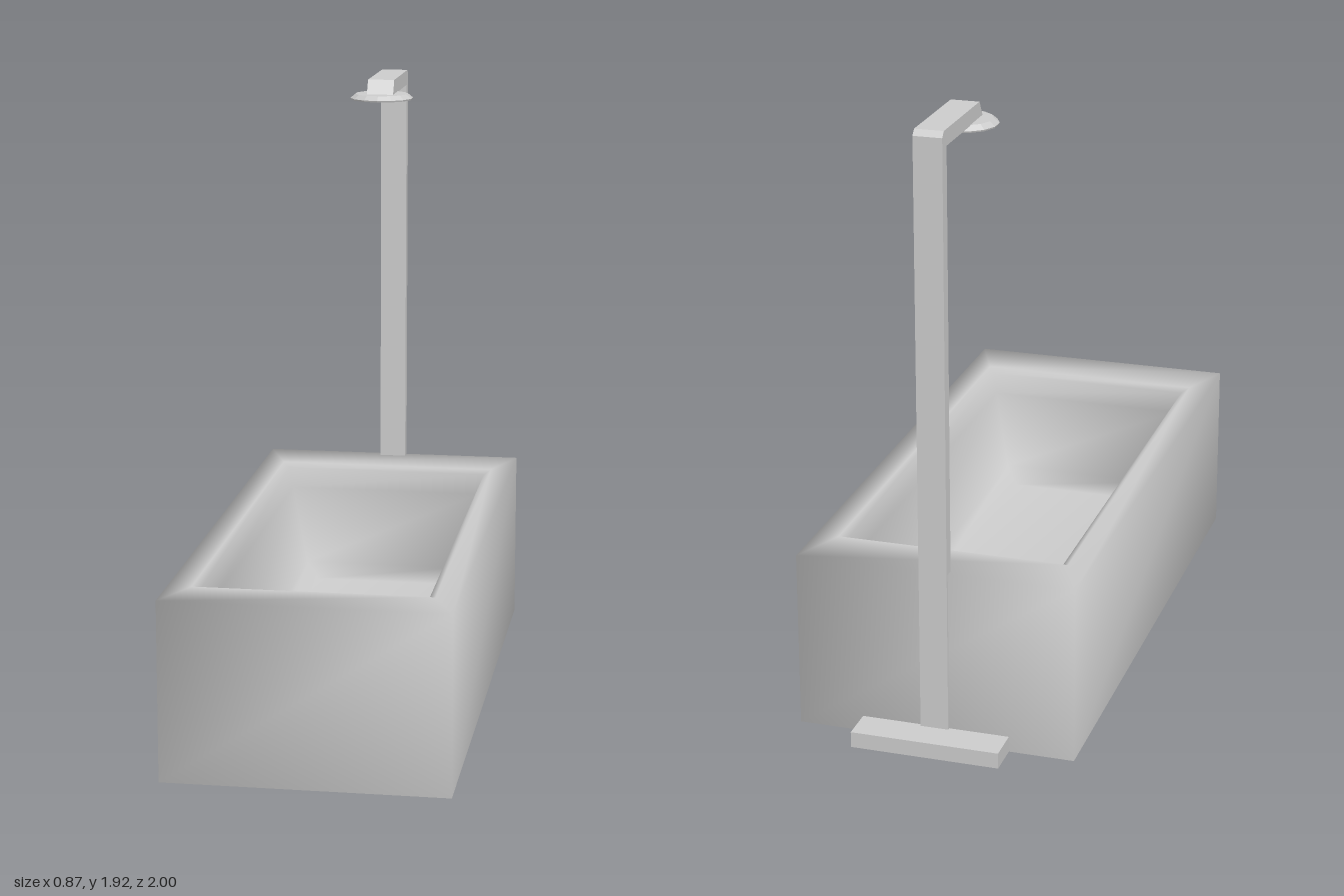
import * as THREE from 'three';

const material = new THREE.MeshStandardMaterial({ color: 0xcccccc, side: THREE.DoubleSide });

function addMesh(group, name, geometry, x = 0, y = 0, z = 0) {
  const mesh = new THREE.Mesh(geometry, material);
  mesh.name = name;
  mesh.position.set(x, y, z);
  group.add(mesh);
}

// Joins rectangular rings [halfWidth, y, zBack, zFront] into one smooth shell, closed at the last ring
function ringShell(rings) {
  const positions = [];
  const index = [];
  for (const [w, y, back, front] of rings) {
    positions.push(-w, y, front, w, y, front, w, y, back, -w, y, back);
  }
  for (let r = 0; r < rings.length - 1; r++) {
    for (let i = 0; i < 4; i++) {
      const a = r * 4 + i;
      const b = r * 4 + (i + 1) % 4;
      index.push(a, b, b + 4, a, b + 4, a + 4);
    }
  }
  const last = (rings.length - 1) * 4;
  index.push(last, last + 1, last + 2, last, last + 2, last + 3);
  const geometry = new THREE.BufferGeometry();
  geometry.setAttribute('position', new THREE.Float32BufferAttribute(positions, 3));
  geometry.setIndex(index);
  geometry.computeVertexNormals();
  return geometry;
}

export function createModel() {
  const model = new THREE.Group();
  model.name = 'bathtubWithShower';

  // Tub: outer walls, broad rim, sloping basin walls and floor
  addMesh(model, 'tub', ringShell([
    [0.437, 0, -0.89, 1],
    [0.437, 0.56, -0.89, 1],
    [0.365, 0.558, -0.715, 0.835],
    [0.343, 0.545, -0.69, 0.808],
    [0.325, 0.48, -0.67, 0.785],
    [0.26, 0.235, -0.59, 0.715],
    [0.215, 0.19, -0.54, 0.66],
  ]));

  // Flat underside of the tub
  const underside = new THREE.PlaneGeometry(0.874, 1.89).rotateX(Math.PI / 2);
  addMesh(model, 'underside', underside, 0, 0, 0.055);

  // Drain in the basin floor
  const drain = new THREE.CylinderGeometry(0.035, 0.035, 0.02, 8).rotateY(Math.PI / 8);
  addMesh(model, 'drain', drain, 0, 0.185, -0.32);

  // Foot plate behind the tub
  addMesh(model, 'footPlate', new THREE.BoxGeometry(0.466, 0.05, 0.11), 0, 0.025, -0.945);

  // Shower post and arm: one bent profile, drawn with shape x as -z
  const profile = new THREE.Shape([
    [0.9, 0.03], [0.9, 1.905], [0.885, 1.922], [0.555, 1.922],
    [0.525, 1.873], [0.862, 1.873], [0.862, 0.03],
  ].map(([x, y]) => new THREE.Vector2(x, y)));
  const post = new THREE.ExtrudeGeometry(profile, { depth: 0.088, bevelEnabled: false });
  post.translate(0, 0, -0.044).rotateY(Math.PI / 2);
  addMesh(model, 'showerPost', post);

  // Shower head: shallow faceted disc with a bevelled top
  const head = new THREE.LatheGeometry([
    [0, 0], [0.103, 0], [0.105, 0.005], [0.088, 0.019], [0, 0.02],
  ].map(([r, y]) => new THREE.Vector2(r, y)), 14).toNonIndexed();
  head.computeVertexNormals();
  addMesh(model, 'showerHead', head, 0, 1.856, -0.568);

  return model;
}
